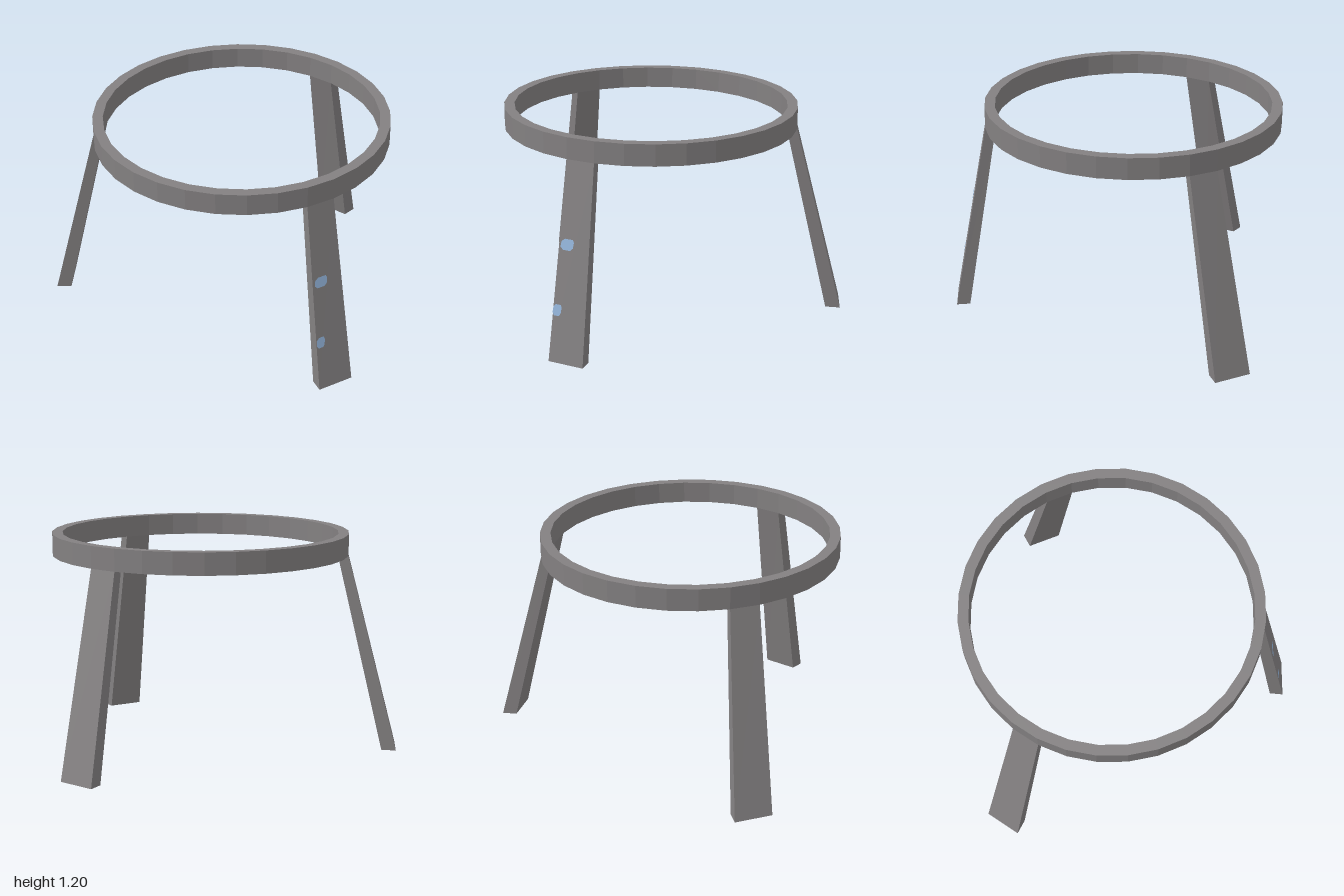
import * as THREE from 'three';

const RING_Z = -0.1, OUTER = 0.825, INNER = 0.767, RING_BOTTOM = 1.08, RING_TOP = 1.2;
const STEP = Math.PI / 16; // one of the ring's 32 sides

function flat(geometry) {
  const g = geometry.toNonIndexed();
  g.computeVertexNormals();
  return g;
}

// Point on the ring, counted in sides from the front (+z) towards +x
const onRing = (radius, side) => [radius * Math.sin(side * STEP), RING_Z + radius * Math.cos(side * STEP)];

// Tapered leg: corners are [x, z] in the order outer a, outer b, inner b, inner a
function legGeometry(top, foot) {
  const g = new THREE.BoxGeometry(1, 1, 1);
  const p = g.attributes.position;
  for (let i = 0; i < p.count; i++) {
    const isTop = p.getY(i) > 0, isB = p.getX(i) > 0, isOuter = p.getZ(i) > 0;
    const [x, z] = (isTop ? top : foot)[isOuter ? (isB ? 1 : 0) : (isB ? 2 : 3)];
    p.setXYZ(i, x, isTop ? RING_BOTTOM : 0, z);
  }
  return flat(g);
}

// Mirror across x, keeping the corner order
const mirror = (corners) => [1, 0, 3, 2].map((i) => [-corners[i][0], corners[i][1]]);

// Corners under the ring, covering one of its sides
const topCorners = (side) => [
  onRing(OUTER, side), onRing(OUTER, side + 1), onRing(INNER, side + 1), onRing(INNER, side),
];

// Small rounded paint mark lying on the sloping outer face of the front leg
function markGeometry(x0, x1, y0, y1) {
  const w = x1 - x0, h = y1 - y0;
  const outline = [[0.2, 0], [0.75, 0], [0.95, 0.25], [1, 0.75], [0.9, 1], [0.3, 1], [0.05, 0.75], [0, 0.25]];
  const shape = new THREE.Shape(outline.map(([u, v]) => new THREE.Vector2(x0 + u * w, y0 + v * h)));
  const g = new THREE.ShapeGeometry(shape);
  const p = g.attributes.position;
  for (let i = 0; i < p.count; i++) {
    p.setZ(i, 0.925 - 0.185 * p.getY(i) - 0.097 * p.getX(i) + 0.004);
  }
  g.computeVertexNormals();
  return g;
}

export function createModel() {
  const group = new THREE.Group();
  const grey = new THREE.MeshStandardMaterial({ color: 0x838081 });
  grey.name = 'warm grey';
  const blue = new THREE.MeshStandardMaterial({ color: 0x94b6dc });
  blue.name = 'light blue';

  const add = (name, geometry, material) => {
    const mesh = new THREE.Mesh(geometry, material);
    mesh.name = name;
    group.add(mesh);
    return mesh;
  };

  // Open faceted ring
  const profile = [
    [OUTER, RING_BOTTOM], [OUTER, RING_TOP], [INNER, RING_TOP], [INNER, RING_BOTTOM], [OUTER, RING_BOTTOM],
  ].map(([x, y]) => new THREE.Vector2(x, y));
  add('ring', flat(new THREE.LatheGeometry(profile, 32)), grey).position.z = RING_Z;

  // Three splayed legs
  const frontFoot = [[0, 0.925], [0.207, 0.905], [0.193, 0.83], [0, 0.848]];
  add('frontLeg', legGeometry(topCorners(0), frontFoot), grey);

  const backTop = topCorners(10);
  const backFoot = [[1, -0.572], [0.9, -0.757], [0.833, -0.712], [0.922, -0.54]];
  add('backLeftLeg', legGeometry(backTop, backFoot), grey);
  add('backRightLeg', legGeometry(mirror(backTop), mirror(backFoot)), grey);

  // Paint marks on the front leg
  add('upperMark', markGeometry(0.012, 0.09, 0.608, 0.668), blue);
  add('lowerMark', markGeometry(0, 0.052, 0.253, 0.315), blue);

  return group;
}
